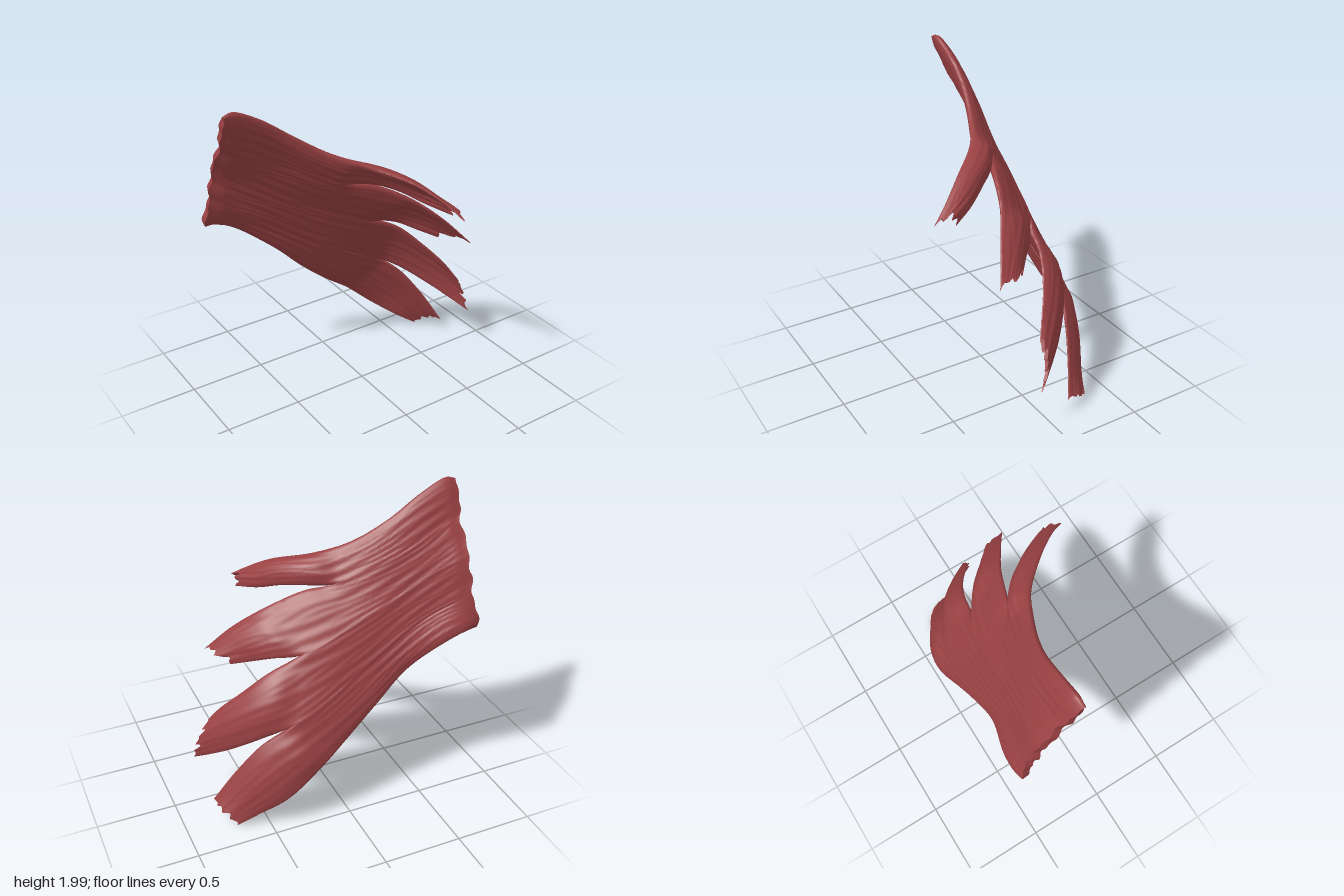
import * as THREE from 'three';
import { toCreasedNormals } from 'three/addons/utils/BufferGeometryUtils.js';

const V = (p) => new THREE.Vector3(...p);
const mix = THREE.MathUtils.lerp;
const smooth = THREE.MathUtils.smoothstep;

// Lines running from the root: the two free borders and the three seams between bands
const upperBorder = [[-0.83, 1.98, -0.13], [-0.77, 1.995, -0.13], [-0.6, 1.92, -0.13], [-0.4, 1.78, -0.11], [-0.2, 1.65, -0.04],
  [0, 1.565, 0.07], [0.2, 1.47, 0.28], [0.32, 1.36, 0.44], [0.37, 1.29, 0.53]];
const seams = [
  [[-0.81, 1.79, -0.23], [-0.45, 1.6, -0.22], [-0.07, 1.42, -0.1]],
  [[-0.81, 1.58, -0.37], [-0.45, 1.39, -0.3], [-0.1, 1.2, -0.265], [0.2, 1.05, -0.21]],
  [[-0.81, 1.37, -0.44], [-0.5, 1.2, -0.375], [-0.1, 0.92, -0.355], [0.33, 0.67, -0.36]],
];
const lowerBorder = [[-0.83, 1.16, -0.5], [-0.78, 1.16, -0.51], [-0.65, 1.12, -0.505], [-0.4, 0.93, -0.43], [-0.2, 0.73, -0.43],
  [0, 0.555, -0.455], [0.2, 0.4, -0.49], [0.4, 0.22, -0.47], [0.57, 0.09, -0.39], [0.7, 0.005, -0.34]];

// Free edges of each finger beyond the notches
const lowerEdges = [
  [[0.1, 1.4, 0], [0.2, 1.37, 0.11], [0.3, 1.31, 0.25], [0.39, 1.27, 0.4]],
  [[0.35, 1.02, -0.13], [0.46, 0.97, -0.03], [0.56, 0.925, 0.06]],
  [[0.5, 0.57, -0.28], [0.65, 0.45, -0.15], [0.75, 0.36, -0.03], [0.835, 0.28, 0.09]],
];
const upperEdges = [
  [[0.1, 1.38, -0.03], [0.3, 1.28, 0.05], [0.5, 1.12, 0.17], [0.655, 0.945, 0.27]],
  [[0.4, 0.95, -0.17], [0.55, 0.81, -0.1], [0.67, 0.67, -0.01], [0.74, 0.56, 0.045]],
  [[0.5, 0.54, -0.3], [0.65, 0.34, -0.23], [0.785, 0.1, -0.15]],
];

// A band edge, with the fraction of its length that is joined to its neighbour
function edge(shared, free) {
  const curve = new THREE.CatmullRomCurve3([...shared, ...free].map(V));
  curve.arcLengthDivisions = 400;
  const joined = free.length ? new THREE.CatmullRomCurve3(shared.map(V)).getLength() / curve.getLength() : 0;
  const joinAt = (u) => (joined ? 1 - smooth(u, joined - 0.03, joined + 0.06) : 0);
  return { curve, joinAt };
}

const NU = 80, NV = 40;
const SHEET_ACROSS = V([0.1, -0.85, -0.4]).normalize();

// One fibrous band: lens-shaped cross-sections swept between two edges
function bandGeometry(index, up, low, teeth, depth) {
  const point = (u, v) => {
    const tooth = depth * Math.pow(Math.abs(Math.sin(teeth * Math.PI * v)), 0.8) * (0.7 + 0.3 * Math.sin(v * 17 + index));
    const t = u * (1 - tooth * smooth(u, 0.75, 1));
    const p = up.curve.getPointAt(t).lerp(low.curve.getPointAt(t), v);
    const w = index + v;
    p.x += (0.006 * Math.sin(w * 6.5) + 0.006 * Math.sin(w * 11 + 1)) * (1 - smooth(u, 0, 0.1)); // uneven root
    return p;
  };
  const positions = [], indices = [];
  const ring = 2 * (NV + 1);
  for (let i = 0; i <= NU; i++) {
    const u = i / NU;
    const joinUp = up.joinAt(u), joinLow = low.joinAt(u);
    const thick = 0.035 * (0.6 + 0.4 * smooth(u, 0, 0.05)) * (1 - 0.75 * smooth(u, 0.6, 1));
    const outer = [], inner = [];
    for (let j = 0; j <= NV; j++) {
      const v = (1 - Math.cos(Math.PI * j / NV)) / 2;
      const p = point(u, v);
      const a = Math.min(u, 0.985), b = Math.min(v, 0.985);
      const join = v < 0.5 ? joinUp : joinLow;
      const round = Math.sqrt(Math.max(0, 4 * v * (1 - v)));
      // neighbouring bands lean to the same direction at their seam
      const across = low.curve.getPointAt(u).sub(up.curve.getPointAt(u)).normalize();
      across.lerp(SHEET_ACROSS, join * (1 - round));
      const n = point(a + 0.015, b).sub(point(a, b)).cross(across).normalize();
      const full = mix(round, 1, join);
      const half = thick * full + 0.002;
      const bow = 0.03 * Math.sin(Math.PI * v) * (1 - Math.max(joinUp, joinLow));
      // broken fibre ridges running lengthwise
      const w = index + v;
      const patch = 0.5 + 0.5 * Math.sin(u * 16 + w * 9 + 2 * Math.sin(w * 5));
      const fibre = full * smooth(u, 0, 0.1) * (0.003 * patch * Math.sin(w * 23 + 3 * Math.sin(u * 6 + w))
        + 0.0016 * (1 - patch) * Math.sin(w * 47 + 3 * Math.sin(u * 9 + w * 2)));
      outer.push(p.clone().addScaledVector(n, half + bow + fibre));
      inner.push(p.clone().addScaledVector(n, -half + bow - fibre));
    }
    for (const p of [...outer, ...inner.reverse()]) positions.push(p.x, p.y, p.z);
  }
  for (let i = 0; i < NU; i++) {
    for (let j = 0; j < ring; j++) {
      const k = (j + 1) % ring;
      const a = i * ring + j, b = a + ring, c = (i + 1) * ring + k, d = i * ring + k;
      indices.push(a, b, c, a, c, d);
    }
  }
  // close the root and the tip
  const end = NU * ring;
  for (let j = 0; j < NV; j++) {
    const o = j, o2 = j + 1, q = ring - 1 - j, q2 = ring - 2 - j;
    indices.push(o, o2, q2, o, q2, q);
    indices.push(end + o, end + q2, end + o2, end + o, end + q, end + q2);
  }
  const g = new THREE.BufferGeometry();
  g.setAttribute('position', new THREE.Float32BufferAttribute(positions, 3));
  g.setIndex(indices);
  return toCreasedNormals(g, Math.PI / 3);
}

export function createModel() {
  const group = new THREE.Group();
  group.name = 'muscleSheet';
  const material = new THREE.MeshStandardMaterial({ color: 0x9a4143 });
  const names = ['upperBand', 'upperMiddleBand', 'lowerMiddleBand', 'lowerBand'];
  const teeth = [1, 2, 5, 4], depth = [0.06, 0.035, 0.035, 0.02];
  names.forEach((name, i) => {
    const up = i === 0 ? edge(upperBorder, []) : edge(seams[i - 1], upperEdges[i - 1]);
    const low = i === 3 ? edge(lowerBorder, []) : edge(seams[i], lowerEdges[i]);
    const mesh = new THREE.Mesh(bandGeometry(i, up, low, teeth[i], depth[i]), material);
    mesh.name = name;
    group.add(mesh);
  });
  return group;
}
